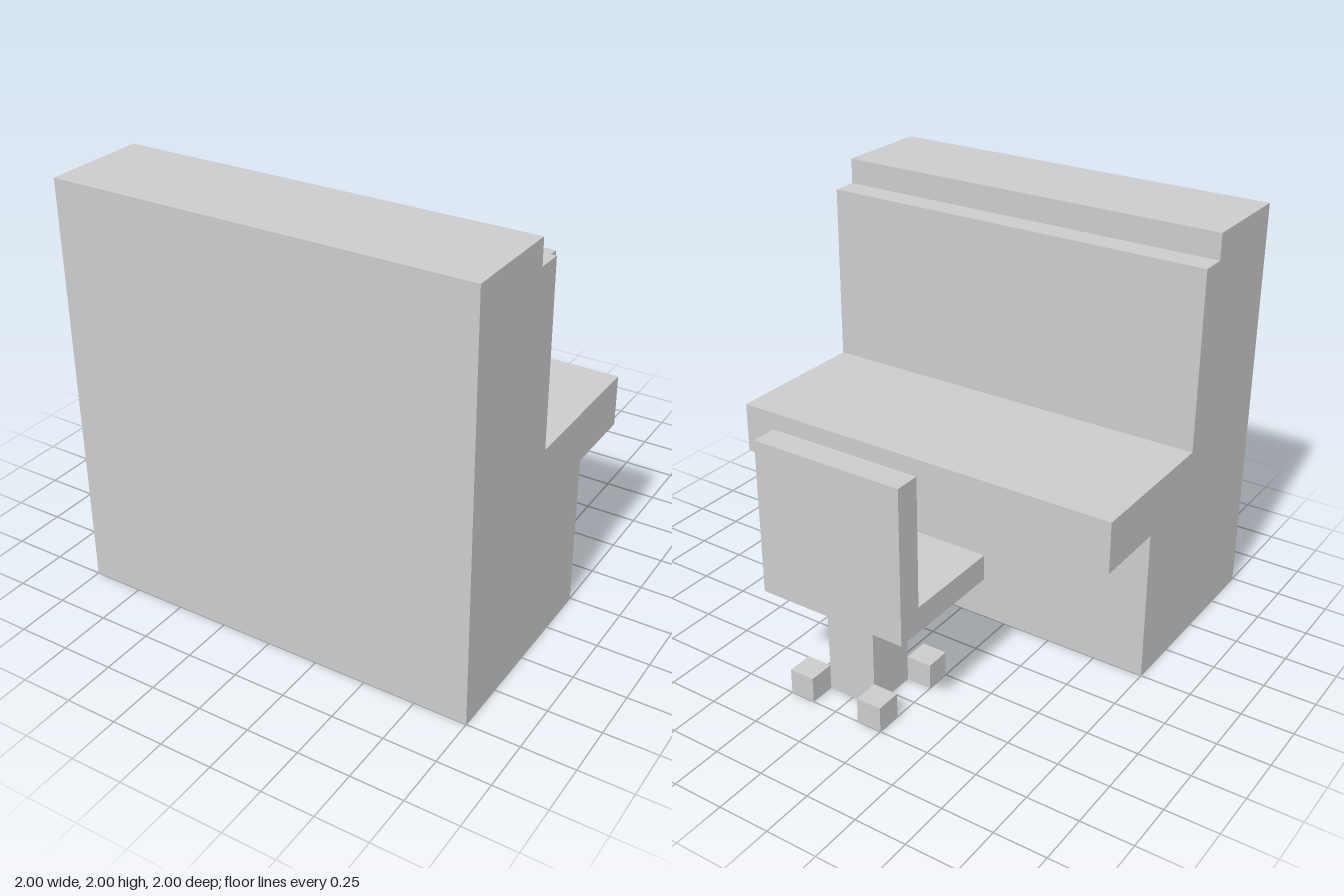
import * as THREE from 'three';

const material = new THREE.MeshStandardMaterial({ color: 0xcccccc, flatShading: true });

// Box given by its lower and upper corners
function box(name, [x0, y0, z0], [x1, y1, z1]) {
  const geometry = new THREE.BoxGeometry(x1 - x0, y1 - y0, z1 - z0);
  const mesh = new THREE.Mesh(geometry, material);
  mesh.position.set((x0 + x1) / 2, (y0 + y1) / 2, (z0 + z1) / 2);
  mesh.name = name;
  return mesh;
}

// Console: one side profile (z, y) swept across the full width
function createConsole() {
  const profile = [
    [1, 0], [1, 2], [0.5, 2], [0.5, 1.875], [0.375, 1.875],
    [0.375, 1], [-0.375, 1], [-0.375, 0.75], [0, 0.75], [0, 0],
  ];
  const shape = new THREE.Shape(profile.map(([z, y]) => new THREE.Vector2(z, y)));
  const geometry = new THREE.ExtrudeGeometry(shape, { depth: 2, bevelEnabled: false });
  geometry.rotateY(-Math.PI / 2).translate(1, 0, 0);
  const mesh = new THREE.Mesh(geometry, material);
  mesh.name = 'consoleDesk';
  return mesh;
}

// Swivel chair with four block feet touching the corners of its post
function createChair() {
  const chair = new THREE.Group();
  chair.name = 'chair';
  chair.add(
    box('seat', [-0.375, 0.5, -1], [0.375, 0.625, -0.375]),
    box('backrest', [-0.375, 0.625, -1], [0.375, 1.25, -0.875]),
    box('post', [-0.125, 0, -0.875], [0.125, 0.5, -0.625]),
  );
  for (const x of [-0.25, 0.125]) {
    for (const z of [-1, -0.625]) {
      chair.add(box('foot', [x, 0, z], [x + 0.125, 0.125, z + 0.125]));
    }
  }
  return chair;
}

export function createModel() {
  const model = new THREE.Group();
  model.name = 'consoleWithChair';
  model.add(createConsole(), createChair());
  return model;
}
